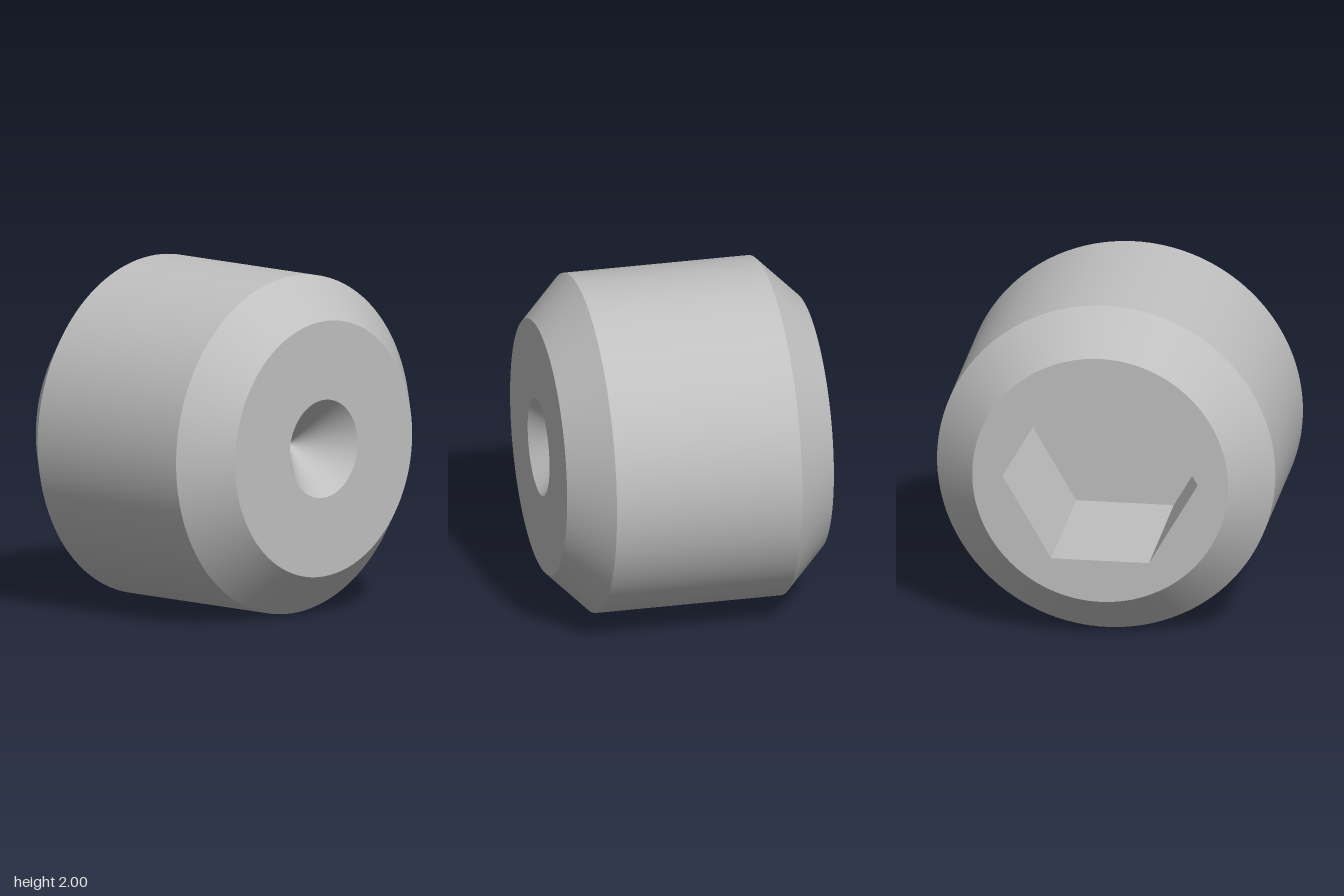
import * as THREE from 'three';

export function createModel() {
  const model = new THREE.Group();
  const steel = new THREE.MeshStandardMaterial({ color: 0xc0c0c0 });
  steel.name = 'steel grey';

  const HALF = 0.8, CHAMFER = 0.244, FACE_R = 1 - CHAMFER;
  const DIMPLE = 0.29;                        // radius and depth of the 45 degree cone
  const HEX_R = 1 / Math.sqrt(3), HEX_DEPTH = 1; // socket one unit across flats

  const body = new THREE.Group();
  body.name = 'body';
  body.position.y = 1;
  model.add(body);

  function add(name, geometry) {
    const mesh = new THREE.Mesh(geometry, steel);
    mesh.name = name;
    body.add(mesh);
  }

  // Turned surfaces, one lathe per band so the edges between them stay sharp
  const bands = [
    ['backChamfer', [FACE_R, -HALF], [1, CHAMFER - HALF]],
    ['barrel', [1, CHAMFER - HALF], [1, HALF - CHAMFER]],
    ['frontChamfer', [1, HALF - CHAMFER], [FACE_R, HALF]],
    ['frontFace', [FACE_R, HALF], [DIMPLE, HALF]],
    ['frontDimple', [DIMPLE, HALF], [0, HALF - DIMPLE]],
  ];
  for (const [name, a, b] of bands) {
    const points = [new THREE.Vector2(...a), new THREE.Vector2(...b)];
    add(name, new THREE.LatheGeometry(points, 128).rotateX(Math.PI / 2));
  }

  // Back face with a hexagonal opening
  const disc = new THREE.Shape().absarc(0, 0, FACE_R, 0, Math.PI * 2);
  const corners = [];
  for (let i = 0; i < 6; i++) {
    const angle = i * Math.PI / 3;
    corners.push(new THREE.Vector2(HEX_R * Math.cos(angle), HEX_R * Math.sin(angle)));
  }
  disc.holes.push(new THREE.Path(corners));
  add('backFace', new THREE.ShapeGeometry(disc, 128).rotateY(Math.PI).translate(0, 0, -HALF));

  // Socket walls, mirrored so that they face inwards
  const walls = new THREE.CylinderGeometry(HEX_R, HEX_R, HEX_DEPTH, 6, 1, true)
    .rotateY(Math.PI / 2)
    .rotateX(Math.PI / 2)
    .translate(0, 0, HEX_DEPTH / 2 - HALF)
    .toNonIndexed();
  // Swap two corners of every triangle to turn it around
  const p = walls.attributes.position;
  const v = new THREE.Vector3(), w = new THREE.Vector3();
  for (let i = 0; i < p.count; i += 3) {
    v.fromBufferAttribute(p, i + 1);
    w.fromBufferAttribute(p, i + 2);
    p.setXYZ(i + 1, w.x, w.y, w.z);
    p.setXYZ(i + 2, v.x, v.y, v.z);
  }
  walls.computeVertexNormals();
  add('socketWalls', walls);

  // Flat socket floor
  add('socketFloor', new THREE.CircleGeometry(HEX_R, 6)
    .rotateY(Math.PI)
    .translate(0, 0, HEX_DEPTH - HALF));

  return model;
}
